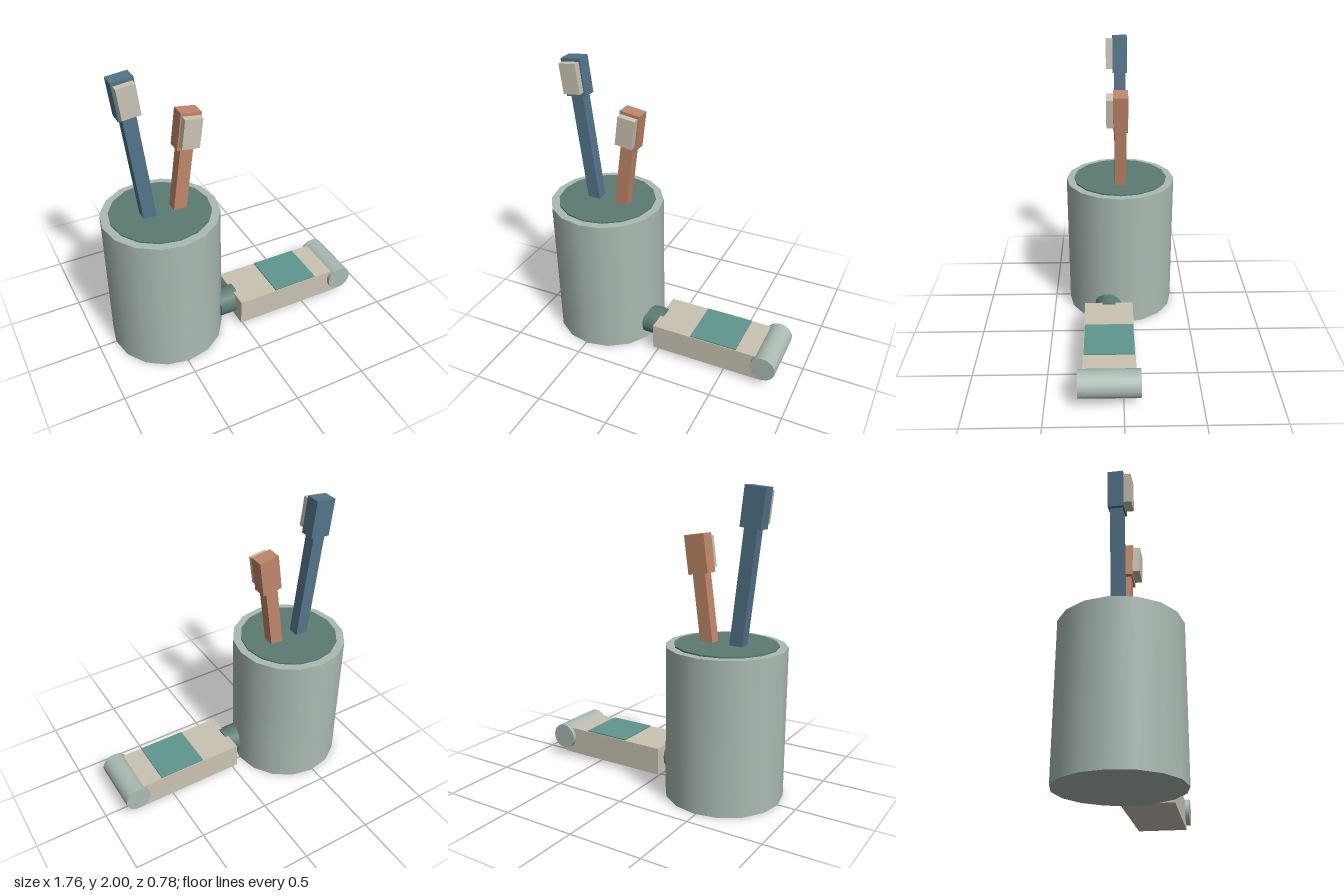
import * as THREE from 'three';

const mat = (name, color) => {
  const m = new THREE.MeshStandardMaterial({ color });
  m.name = name;
  return m;
};

export function createModel() {
  const root = new THREE.Group();
  root.name = 'toothbrushSet';

  const sage = mat('sage', 0xaabbb2);
  const darkGreen = mat('darkGreen', 0x5b7b73);
  const cream = mat('cream', 0xc9c3b3);
  const teal = mat('teal', 0x5f978e);
  const blue = mat('blue', 0x52758a);
  const orange = mat('orange', 0xc08669);

  const add = (parent, name, geometry, material, x, y, z) => {
    const mesh = new THREE.Mesh(geometry, material);
    mesh.name = name;
    mesh.position.set(x, y, z);
    parent.add(mesh);
    return mesh;
  };
  const box = (w, h, d) => new THREE.BoxGeometry(w, h, d);
  const cyl = (r, h, sides = 16) => new THREE.CylinderGeometry(r, r, h, sides);

  // Cup with its dark inner disc
  const cup = new THREE.Group();
  cup.name = 'cup';
  cup.position.x = -0.49;
  root.add(cup);
  add(cup, 'cupBody', cyl(0.39, 1), sage, 0, 0.5, 0);
  add(cup, 'cupOpening', cyl(0.335, 0.02), darkGreen, 0, 1, 0);

  // Brushes: each group sits at the head centre and leans about it
  const brush = (name, material, x, y, lean, handleLength) => {
    const g = new THREE.Group();
    g.name = name;
    g.position.set(x, y, 0);
    g.rotation.z = lean;
    add(g, 'handle', box(0.088, handleLength, 0.08), material, 0, -0.11 - handleLength / 2, 0);
    add(g, 'head', box(0.14, 0.25, 0.1), material, 0, 0, 0);
    add(g, 'bristles', box(0.12, 0.2, 0.05), cream, 0, 0.004, 0.072);
    root.add(g);
  };
  brush('blueBrush', blue, -0.668, 1.868, 0.11, 0.85);
  brush('orangeBrush', orange, -0.287, 1.567, -0.14, 0.55);

  // Paste tube lying beside the cup
  const tube = new THREE.Group();
  tube.name = 'pasteTube';
  tube.position.z = 0.09;
  root.add(tube);
  add(tube, 'tubeBody', box(0.81, 0.19, 0.34), cream, 0.38, 0.125, 0);
  add(tube, 'tubeLabel', box(0.33, 0.009, 0.33), teal, 0.422, 0.2235, 0);
  add(tube, 'tubeCap', cyl(0.1, 0.145), darkGreen, -0.0725, 0.133, 0).rotation.z = Math.PI / 2;
  add(tube, 'rolledEnd', cyl(0.09, 0.395, 20), sage, 0.786, 0.153, 0).rotation.x = Math.PI / 2;

  return root;
}
